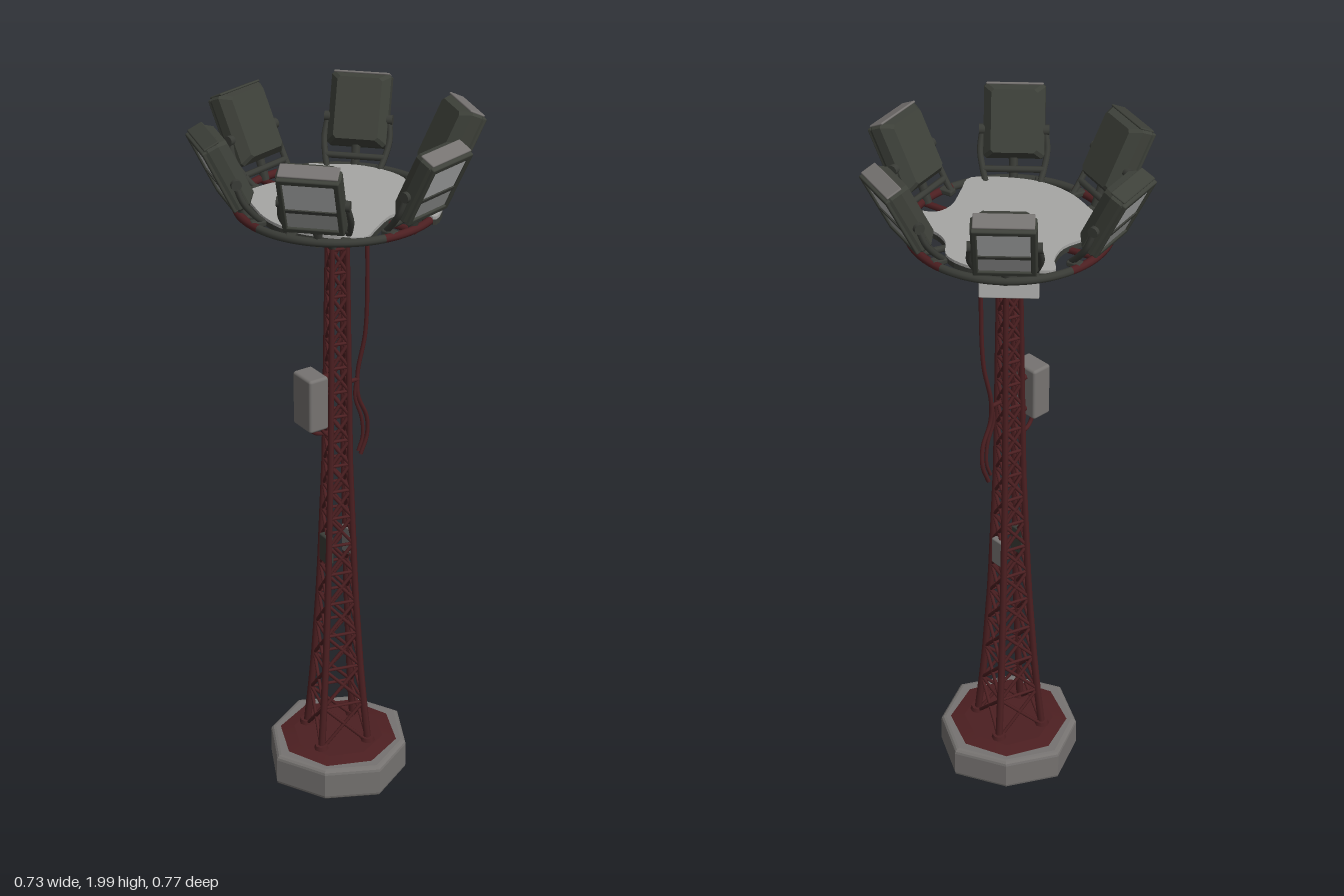
import * as THREE from 'three';
import { RoundedBoxGeometry } from 'three/addons/geometries/RoundedBoxGeometry.js';
import { ConvexGeometry } from 'three/addons/geometries/ConvexGeometry.js';

const mat = (name, color) => new THREE.MeshStandardMaterial({ name, color });
const M = {
  red: mat('oxide red steel', 0x4c1f21),
  dark: mat('dark steel', 0x393b36),
  housing: mat('lamp housing', 0x3d4039),
  grey: mat('weathered grey', 0x767371),
  deck: mat('deck grey', 0xa6a6a4),
  glass: mat('lamp glass', 0xb9baba),
  reflector: mat('lamp reflector', 0x969796),
};
const V = (x, y, z) => new THREE.Vector3(x, y, z);

function add(parent, name, geometry, material, pos) {
  const m = new THREE.Mesh(geometry, material);
  m.name = name;
  if (pos) m.position.set(...pos);
  parent.add(m);
  return m;
}

// Round bar between two points
function strut(parent, name, a, b, r, material, r2 = r) {
  const d = b.clone().sub(a);
  const m = add(parent, name, new THREE.CylinderGeometry(r2, r, d.length(), 7), material);
  m.position.copy(a).add(b).multiplyScalar(0.5);
  m.quaternion.setFromUnitVectors(V(0, 1, 0), d.normalize());
  return m;
}

function tube(parent, name, pts, r, material) {
  const curve = new THREE.CatmullRomCurve3(pts.map(p => V(...p)));
  return add(parent, name, new THREE.TubeGeometry(curve, pts.length * 6, r, 7), material);
}

// Flat horizontal slab from a shape
function slab(shape, depth, bevel) {
  const g = new THREE.ExtrudeGeometry(shape, {
    depth: depth - 2 * bevel, bevelEnabled: bevel > 0, bevelSize: bevel,
    bevelThickness: bevel, bevelOffset: -bevel, bevelSegments: 3,
  });
  return g.rotateX(-Math.PI / 2).translate(0, bevel, 0);
}

function buildBase() {
  const g = new THREE.Group();
  g.name = 'base';
  const outline = new THREE.Shape([...Array(8)].map((_, i) => {
    const a = i * Math.PI / 4, r = i % 2 ? 0.212 : 0.199;
    return new THREE.Vector2(Math.cos(a) * r + 0.003, Math.sin(a) * r);
  }));
  add(g, 'footing', slab(outline, 0.1, 0.014), M.grey);
  const top = add(g, 'footingTop', new THREE.CylinderGeometry(0.13, 0.176, 0.008, 8), M.red, [0.003, 0.103, 0]);
  top.rotation.y = Math.PI / 2;
  return g;
}

// Half-width of the mast at a height
const mastKeys = [[0.1, 0.099], [0.3, 0.077], [0.6, 0.056], [1.0, 0.039], [1.76, 0.027]];
const mastTurn = 0.28;
function mastRadius(y) {
  let i = 0;
  while (i < mastKeys.length - 2 && y > mastKeys[i + 1][0]) i++;
  const [y0, r0] = mastKeys[i], [y1, r1] = mastKeys[i + 1];
  return r0 + (r1 - r0) * (y - y0) / (y1 - y0);
}

function buildMast() {
  const g = new THREE.Group();
  g.name = 'latticeMast';
  const corner = (k, y) => {
    const a = k * Math.PI / 2 + mastTurn, r = mastRadius(y);
    return V(Math.cos(a) * r, y, Math.sin(a) * r);
  };
  // Panels get shorter as the mast narrows
  const levels = [0.1];
  while (levels.at(-1) < 1.66) levels.push(levels.at(-1) + 0.036 + mastRadius(levels.at(-1)));
  levels[levels.length - 1] = 1.76;
  for (let k = 0; k < 4; k++) {
    const foot = corner(k, 0.1);
    add(g, 'footPlate', new THREE.CylinderGeometry(0.018, 0.022, 0.014, 8), M.red, [foot.x, 0.112, foot.z]);
    for (let i = 0; i < levels.length - 1; i++) {
      const y0 = levels[i], y1 = levels[i + 1];
      strut(g, 'mastLeg', corner(k, y0), corner(k, y1), 0.011 - y0 * 0.0022, M.red, 0.011 - y1 * 0.0022);
      strut(g, 'mastBrace', corner(k, y0), corner(k + 1, y1), 0.005, M.red);
      strut(g, 'mastBrace', corner(k + 1, y0), corner(k, y1), 0.005, M.red);
      strut(g, 'mastCrossbar', corner(k, y1), corner(k + 1, y1), 0.0045, M.red);
    }
  }
  return g;
}

function buildPlatform() {
  const g = new THREE.Group();
  g.name = 'platform';
  const outline = [
    [-0.12, -0.225], [-0.06, -0.23], [0, -0.24], [0.09, -0.215], [0.15, -0.165], [0.16, -0.09], [0.195, -0.043], [0.225, -0.038],
    [0.265, -0.036], [0.268, 0.075], [0.23, 0.058], [0.19, 0.053], [0.155, 0.085], [0.132, 0.175], [0.115, 0.235], [0, 0.24],
    [-0.08, 0.218], [-0.15, 0.165], [-0.2, 0.09], [-0.24, 0.01], [-0.2, -0.06], [-0.14, -0.11], [-0.118, -0.17],
  ].map(([x, z]) => V(x, -z, 0)).reverse();
  const curve = new THREE.CatmullRomCurve3(outline, true, 'centripetal');
  const shape = new THREE.Shape(curve.getPoints(90).slice(0, -1).map(p => new THREE.Vector2(p.x, p.y)));
  add(g, 'deckTop', slab(shape, 0.008, 0), M.deck, [0, 1.757, 0]);
  add(g, 'deckUnderside', slab(shape, 0.015, 0), M.dark, [0, 1.742, 0]);
  const patch = new THREE.RingGeometry(0.14, 0.215, 16, 1, Math.PI - 0.8, 1);
  add(g, 'undersidePatch', patch.rotateX(Math.PI / 2), M.red, [0, 1.74, 0]);
  const apron = add(g, 'rearApron', new RoundedBoxGeometry(0.15, 0.045, 0.008, 2, 0.003), M.deck, [-0.008, 1.722, -0.252]);
  apron.rotation.x = 0.2;

  // Ring rail, red at the sides and dark at front and back
  for (let k = 0; k < 4; k++) {
    const span = k % 2 ? Math.PI * 0.42 : Math.PI * 0.58;
    const arc = new THREE.TorusGeometry(0.262, 0.011, 10, 24, span).rotateZ(k * Math.PI / 2 - span / 2);
    add(g, 'ringRail', arc.rotateX(Math.PI / 2), k % 2 ? M.dark : M.red, [0, 1.752, 0]);
  }

  // Beams out to the ring, and diagonal stays below them
  for (let k = 0; k < 6; k++) {
    const a = (k + 0.5) * Math.PI / 3, c = Math.cos(a), s = Math.sin(a);
    strut(g, 'ringBeam', V(0, 1.736, 0), V(c * 0.262, 1.746, s * 0.262), 0.009, k === 0 || k === 3 ? M.red : M.dark);
  }
  for (let k = 0; k < 4; k++) {
    const a = k * Math.PI / 2 + mastTurn, c = Math.cos(a), s = Math.sin(a);
    strut(g, 'deckStay', V(c * 0.024, 1.635, s * 0.024), V(c * 0.125, 1.745, s * 0.125), 0.009, M.dark);
  }
  return g;
}

// Floodlight facing +z, leaning outward at the top
function buildLamp(hoodMaterial, radius) {
  const lamp = new THREE.Group();
  lamp.name = 'floodlight';
  const head = new THREE.Group();
  head.name = 'lampHead';
  head.position.set(0, 1.892, radius);
  head.rotation.x = 0.45;
  lamp.add(head);

  // Tapered shell
  const corners = [];
  for (const [w, h, z] of [[0.078, 0.093, 0.028], [0.081, 0.098, 0.02], [0.08, 0.097, -0.008], [0.06, 0.082, -0.034]])
    for (const x of [-1, 1]) for (const y of [-1, 1]) {
      corners.push(V(x * w, y * (h - 0.008), z), V(x * (w - 0.008), y * h, z));
    }
  add(head, 'housing', new ConvexGeometry(corners), M.housing);
  add(head, 'hood', new RoundedBoxGeometry(0.15, 0.006, 0.044, 2, 0.003), hoodMaterial, [0, 0.097, 0.006]);

  // Rim, glass panels and dividing bar
  for (const x of [-1, 1]) add(head, 'rimSide', new RoundedBoxGeometry(0.014, 0.186, 0.014, 2, 0.004), M.housing, [x * 0.071, 0, 0.03]);
  for (const y of [-1, 1]) add(head, 'rimEnd', new RoundedBoxGeometry(0.15, 0.016, 0.014, 2, 0.004), M.housing, [0, y * 0.085, 0.03]);
  add(head, 'upperGlass', new THREE.BoxGeometry(0.128, 0.092, 0.004), M.glass, [0, 0.031, 0.029]);
  add(head, 'lowerGlass', new THREE.BoxGeometry(0.128, 0.056, 0.004), M.reflector, [0, -0.049, 0.029]);
  add(head, 'glassBar', new THREE.BoxGeometry(0.13, 0.01, 0.008), M.dark, [0, -0.018, 0.031]);

  // Yoke, its feet tucked against the ring
  for (const s of [-1, 1]) {
    tube(lamp, 'yokeArm', [[s * 0.083, 1.87, radius - 0.01], [s * 0.088, 1.825, 0.28], [s * 0.08, 1.785, 0.25], [s * 0.07, 1.757, 0.222]], 0.0085, M.dark);
    const pivot = add(lamp, 'yokePivot', new THREE.CylinderGeometry(0.014, 0.014, 0.016, 12), M.dark, [s * 0.084, 1.872, radius - 0.01]);
    pivot.rotation.z = Math.PI / 2;
    add(lamp, 'yokeFoot', new RoundedBoxGeometry(0.026, 0.016, 0.04, 2, 0.005), M.dark, [s * 0.07, 1.756, 0.236]);
  }
  strut(lamp, 'yokeBar', V(-0.08, 1.785, 0.25), V(0.08, 1.785, 0.25), 0.009, M.dark);
  strut(lamp, 'yokePost', V(0, 1.75, 0.25), V(0, 1.81, 0.27), 0.012, M.dark);
  return lamp;
}

function buildFittings() {
  const g = new THREE.Group();
  g.name = 'mastFittings';
  // Control cabinet, its brackets and wiring
  const box = add(g, 'controlCabinet', new RoundedBoxGeometry(0.085, 0.155, 0.06, 3, 0.008), M.grey, [-0.056, 1.217, 0.08]);
  box.rotation.y = -Math.PI / 4;
  for (const y of [1.165, 1.265]) strut(g, 'cabinetBracket', V(-0.015, y, 0.018), V(-0.05, y, 0.07), 0.009, M.red);
  tube(g, 'cabinetWire', [[-0.06, 1.15, 0.075], [-0.055, 1.115, 0.065], [-0.04, 1.1, 0.045], [-0.012, 1.1, 0.03]], 0.006, M.red);
  tube(g, 'cabinetWire', [[-0.04, 1.15, 0.06], [-0.032, 1.11, 0.045], [-0.008, 1.08, 0.03]], 0.005, M.red);

  // Small junction boxes on two faces of the mast
  for (const [name, x, z, m] of [['frontJunctionBox', -0.024, 0.032, M.dark], ['rearJunctionBox', 0.027, -0.03, M.grey]]) {
    const jb = add(g, name, new RoundedBoxGeometry(0.046, 0.085, 0.02, 2, 0.005), m, [x, 0.735, z]);
    jb.rotation.y = -Math.PI / 4;
  }

  // Hanging cables
  tube(g, 'mainCable', [[0.055, 1.75, -0.04], [0.068, 1.68, -0.042], [0.072, 1.5, -0.046], [0.066, 1.36, -0.05], [0.048, 1.25, -0.042],
    [0.05, 1.18, -0.04], [0.07, 1.11, -0.06], [0.07, 1.05, -0.066], [0.055, 0.995, -0.055]], 0.006, M.red);
  tube(g, 'looseCable', [[0.048, 1.25, -0.042], [0.042, 1.18, -0.036], [0.058, 1.11, -0.048], [0.06, 1.05, -0.052], [0.05, 1.01, -0.045]], 0.005, M.red);
  strut(g, 'cableClip', V(0.02, 1.23, -0.015), V(0.05, 1.23, -0.042), 0.006, M.red);
  return g;
}

export function createModel() {
  const model = new THREE.Group();
  model.name = 'floodlightTower';
  model.add(buildBase(), buildMast(), buildPlatform(), buildFittings());
  // Hoods on the model's right side are dark
  for (let k = 0; k < 6; k++) {
    const lamp = buildLamp(k > 3 ? M.housing : M.grey, k % 3 ? 0.306 : 0.315);
    lamp.rotation.y = k * Math.PI / 3;
    model.add(lamp);
  }
  return model;
}
